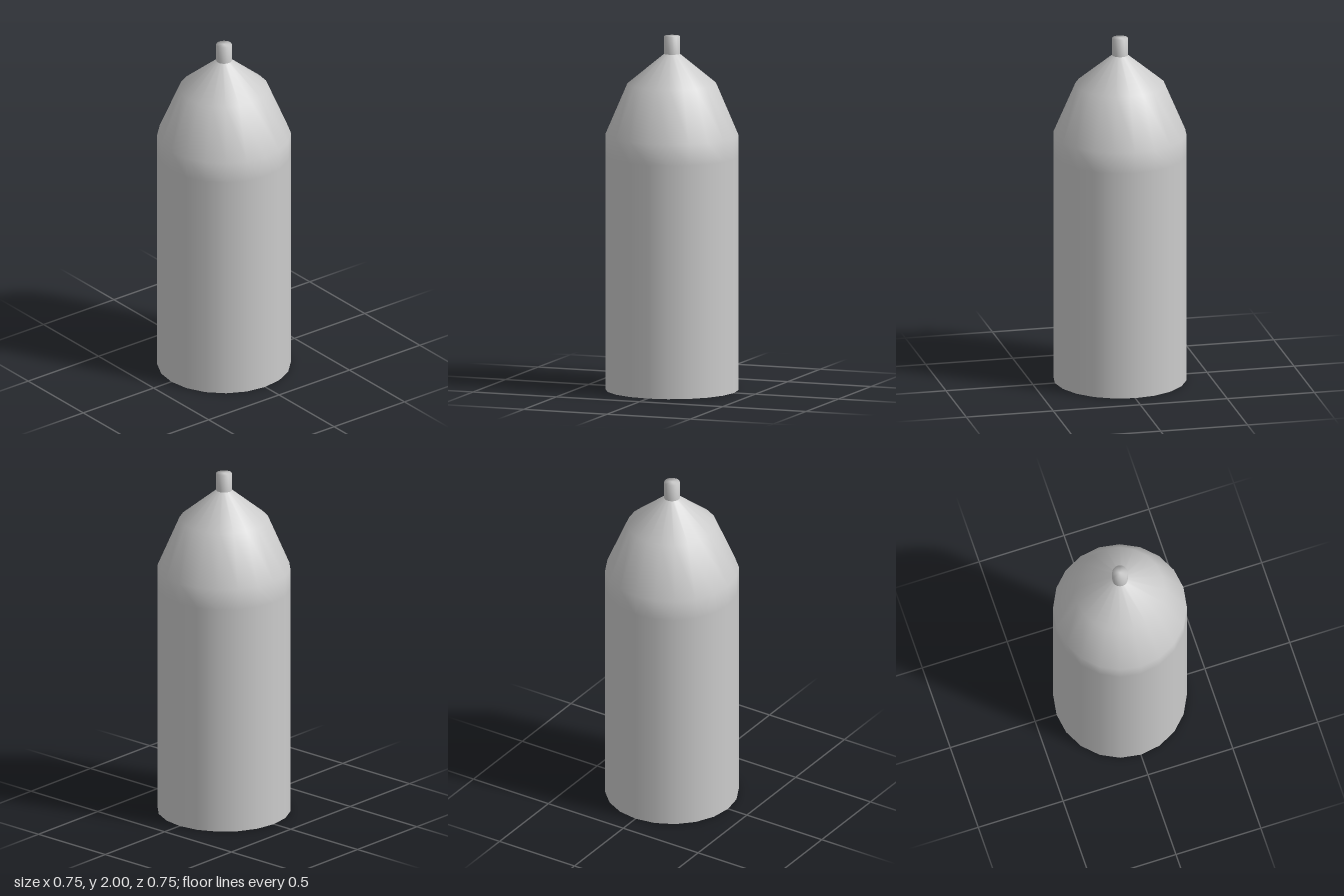
import * as THREE from 'three';

const SIDES = 20;
const RADIUS = 0.374;

// Smooth surface of revolution from [radius, height] pairs, listed bottom to top
function turned(name, profile, side = THREE.FrontSide) {
  const points = profile.map(([r, y]) => new THREE.Vector2(r, y));
  const material = new THREE.MeshStandardMaterial({ color: 0xcccccc, side });
  const mesh = new THREE.Mesh(new THREE.LatheGeometry(points, SIDES), material);
  mesh.name = name;
  return mesh;
}

export function createModel() {
  const group = new THREE.Group();
  group.name = 'gasCylinder';

  // Straight wall, open at the foot, with a two-step tapered shoulder
  group.add(turned('body', [
    [RADIUS, 0], [RADIUS, 1.32], [RADIUS, 1.44], [0.25, 1.73], [0.043, 1.9],
  ], THREE.DoubleSide));

  // Narrow outlet at the top
  group.add(turned('neck', [[0.044, 1.88], [0.044, 2], [0, 2]]));

  // Rounded base hanging inside the foot of the wall
  const depth = 0.23;
  const dome = [];
  for (let i = 0; i <= 8; i++) {
    const a = (i / 8) * Math.PI / 2;
    dome.push([RADIUS * Math.sin(a), 0.005 + depth * (1 - Math.cos(a))]);
  }
  group.add(turned('baseDome', dome));

  return group;
}
